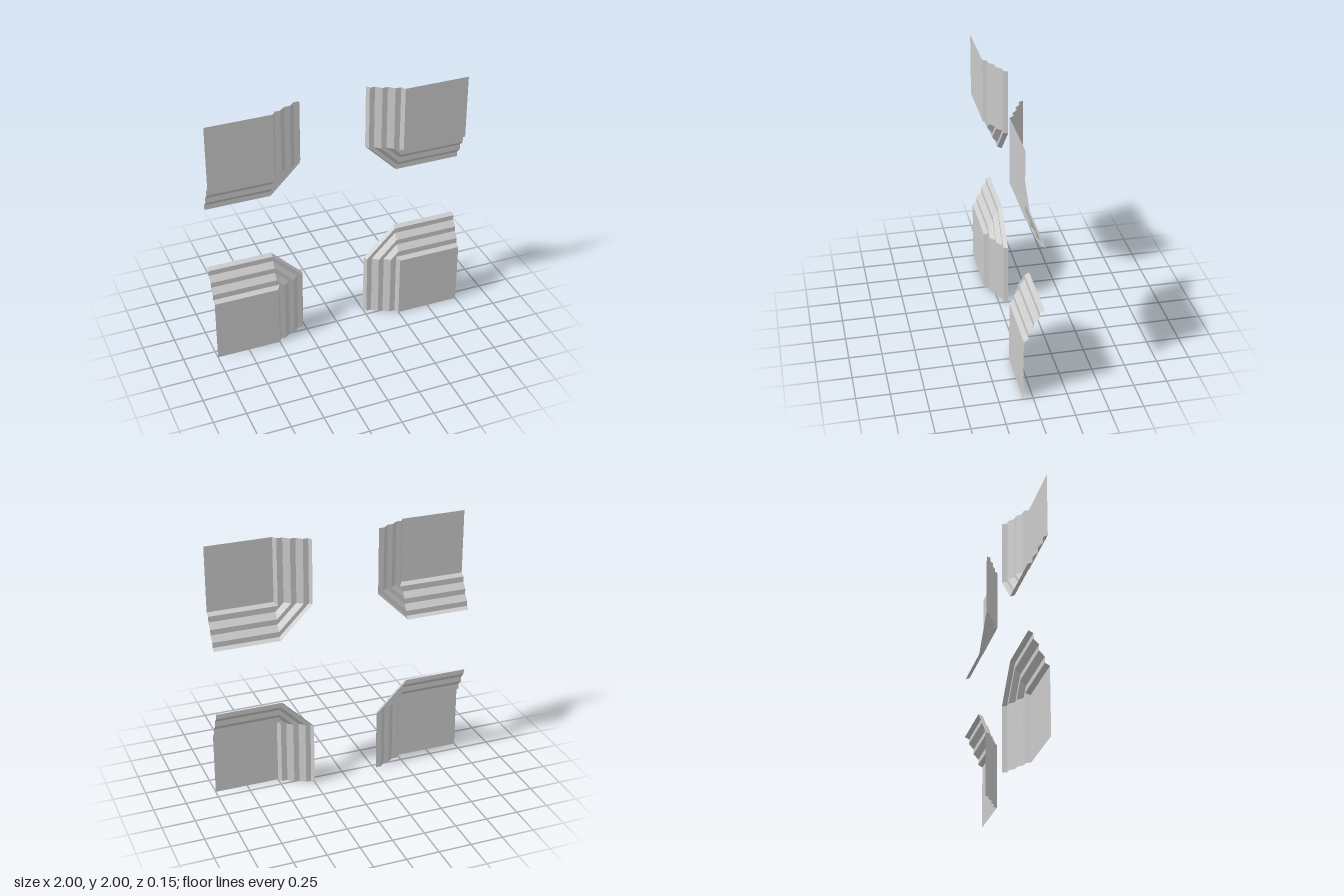
import * as THREE from 'three';

const material = new THREE.MeshStandardMaterial({
  color: 0xcccccc, flatShading: true, side: THREE.DoubleSide,
});

// Stepped moulding profile: [distance out from the panel edge, z]
const PROFILE = [
  [0, 0.073], [0.02, 0.039], [0.064, 0.039], [0.107, 0],
  [0.148, 0], [0.19, -0.039], [0.23, -0.039], [0.246, -0.073],
];

// One L-shaped line of the moulding: the first two turn squarely, the rest are chamfered
function mouldingLine([d, z], i) {
  const e = 0.5 + d, c = i < 2 ? e : 0.5;
  return [[-1, e], [c - 1, e], [d - 0.5, c], [d - 0.5, 0]]
    .map(([x, y]) => new THREE.Vector3(x, y, z));
}

// Places a point of the lower right corner into any of the four corners
const place = (p, side, top) => new THREE.Vector3(-side * p.x, top ? 2 - p.y : p.y, p.z);

function mouldingGeometry(side, top) {
  const lines = PROFILE.map(mouldingLine);
  const flip = (side > 0) !== top;
  const points = [];
  const addTriangle = (a, b, c) => {
    if (new THREE.Triangle(a, b, c).getArea() < 1e-7) return;
    const corners = flip ? [a, c, b] : [a, b, c];
    points.push(...corners.map((p) => place(p, side, top)));
  };
  for (let i = 0; i < lines.length - 1; i++) {
    for (let k = 0; k < 3; k++) {
      const a = lines[i][k], b = lines[i][k + 1];
      const c = lines[i + 1][k + 1], d = lines[i + 1][k];
      addTriangle(a, b, c);
      addTriangle(a, c, d);
    }
  }
  const geometry = new THREE.BufferGeometry().setFromPoints(points);
  geometry.computeVertexNormals();
  return geometry;
}

export function createModel() {
  const model = new THREE.Group();
  model.name = 'corners';
  for (const top of [false, true]) {
    for (const side of [-1, 1]) {
      const corner = new THREE.Group();
      corner.name = (top ? 'upper' : 'lower') + (side > 0 ? 'Left' : 'Right') + 'Corner';

      // Flat square face
      const panel = new THREE.Mesh(new THREE.PlaneGeometry(0.5, 0.5), material);
      panel.name = 'panel';
      panel.position.set(side * 0.75, top ? 1.75 : 0.25, PROFILE[0][1]);

      // Stepped border stepping back round the inner corner
      const moulding = new THREE.Mesh(mouldingGeometry(side, top), material);
      moulding.name = 'steppedMoulding';

      corner.add(panel, moulding);
      model.add(corner);
    }
  }
  return model;
}
